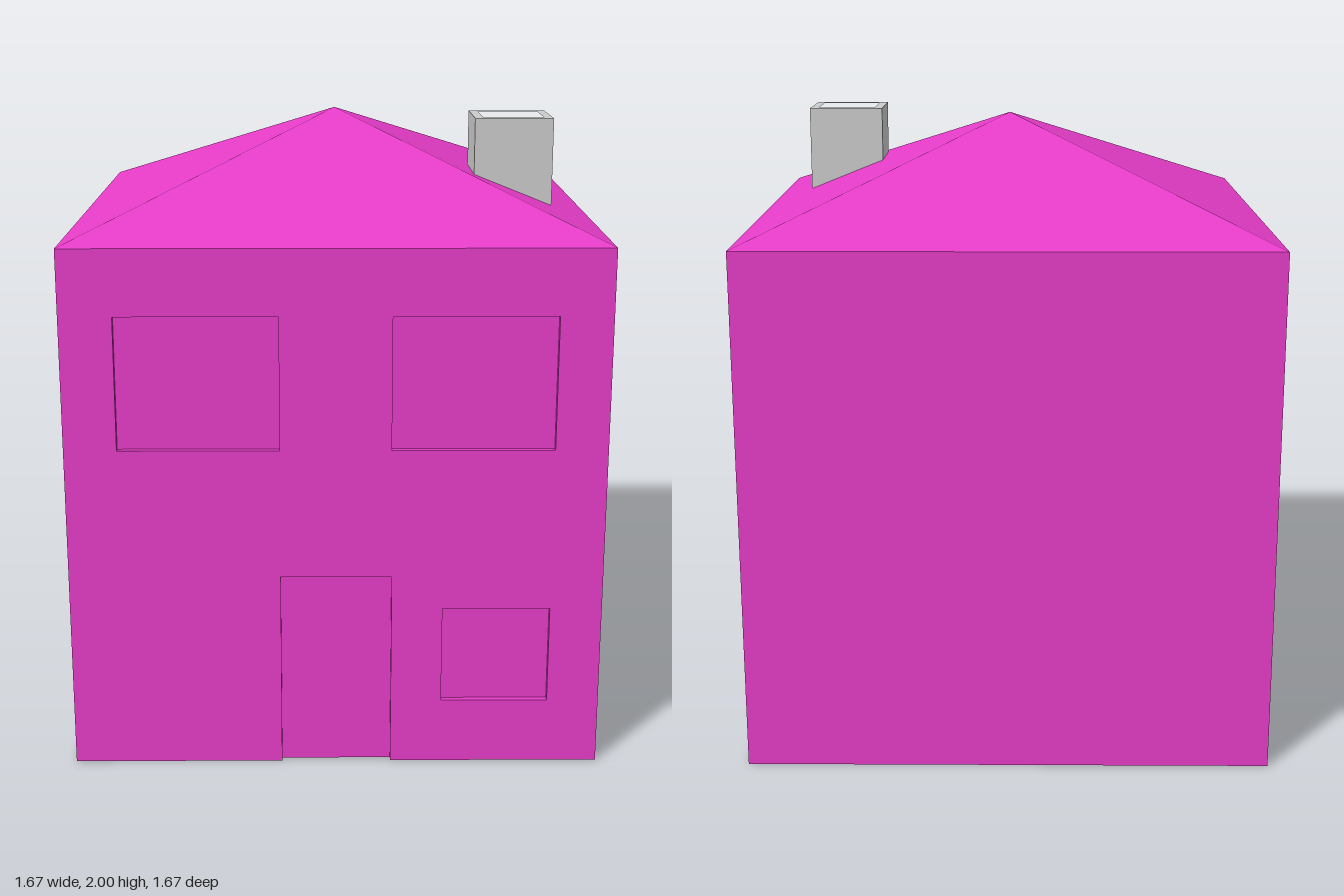
import * as THREE from 'three';

const HALF = 0.833, WALL = 1.667, RECESS = 0.02;

function addMesh(parent, name, geometry, material, x, y, z) {
  const mesh = new THREE.Mesh(geometry, material);
  mesh.name = name;
  mesh.position.set(x, y, z);
  parent.add(mesh);
  return mesh;
}

// Closed rectangular outline, usable as a hole
function rectPath(x0, y0, x1, y1) {
  return new THREE.Path([[x0, y0], [x0, y1], [x1, y1], [x1, y0]].map(([x, y]) => new THREE.Vector2(x, y)));
}

export function createModel() {
  const house = new THREE.Group();
  house.name = 'house';
  const pink = new THREE.MeshStandardMaterial({ color: 0xe63cc8, flatShading: true });
  const grey = new THREE.MeshStandardMaterial({ color: 0xcccccc, flatShading: true });

  // Main block, whose front shows inside the recesses
  const depth = 2 * HALF - RECESS;
  addMesh(house, 'walls', new THREE.BoxGeometry(2 * HALF, WALL, depth), pink, 0, WALL / 2, -RECESS / 2);

  // Front layer with a doorway notch and three window openings
  const front = new THREE.Shape([
    [-HALF, 0], [-0.173, 0], [-0.173, 0.63], [0.173, 0.63], [0.173, 0],
    [HALF, 0], [HALF, WALL], [-HALF, WALL],
  ].map(([x, y]) => new THREE.Vector2(x, y)));
  front.holes.push(
    rectPath(-0.67, 1.042, -0.173, 1.46),
    rectPath(0.17, 1.042, 0.67, 1.46),
    rectPath(0.333, 0.21, 0.67, 0.523),
  );
  const frontGeometry = new THREE.ExtrudeGeometry(front, { depth: RECESS, bevelEnabled: false });
  addMesh(house, 'frontWall', frontGeometry, pink, 0, 0, HALF - RECESS);

  // Pyramid roof
  const roofHeight = 2 - WALL;
  const roof = new THREE.ConeGeometry(HALF * Math.SQRT2, roofHeight, 4, 1);
  roof.rotateY(Math.PI / 4);
  addMesh(house, 'roof', roof, pink, 0, WALL + roofHeight / 2, 0);

  // Hollow square chimney rising out of the roof, with a floor inside
  const chimney = new THREE.Group();
  chimney.name = 'chimney';
  chimney.position.set(0.569, 0, 0.25);
  house.add(chimney);
  const outer = 0.125, inner = 0.097, base = 1.7;
  const ring = new THREE.Shape(rectPath(-outer, -outer, outer, outer).getPoints());
  ring.holes.push(rectPath(-inner, -inner, inner, inner));
  const ringGeometry = new THREE.ExtrudeGeometry(ring, { depth: 2 - base, bevelEnabled: false });
  ringGeometry.rotateX(-Math.PI / 2);
  addMesh(chimney, 'chimneyWalls', ringGeometry, grey, 0, base, 0);
  const floorTop = 1.833;
  addMesh(chimney, 'chimneyFloor', new THREE.BoxGeometry(2 * inner, floorTop - base, 2 * inner), grey, 0, (floorTop + base) / 2, 0);

  return house;
}
